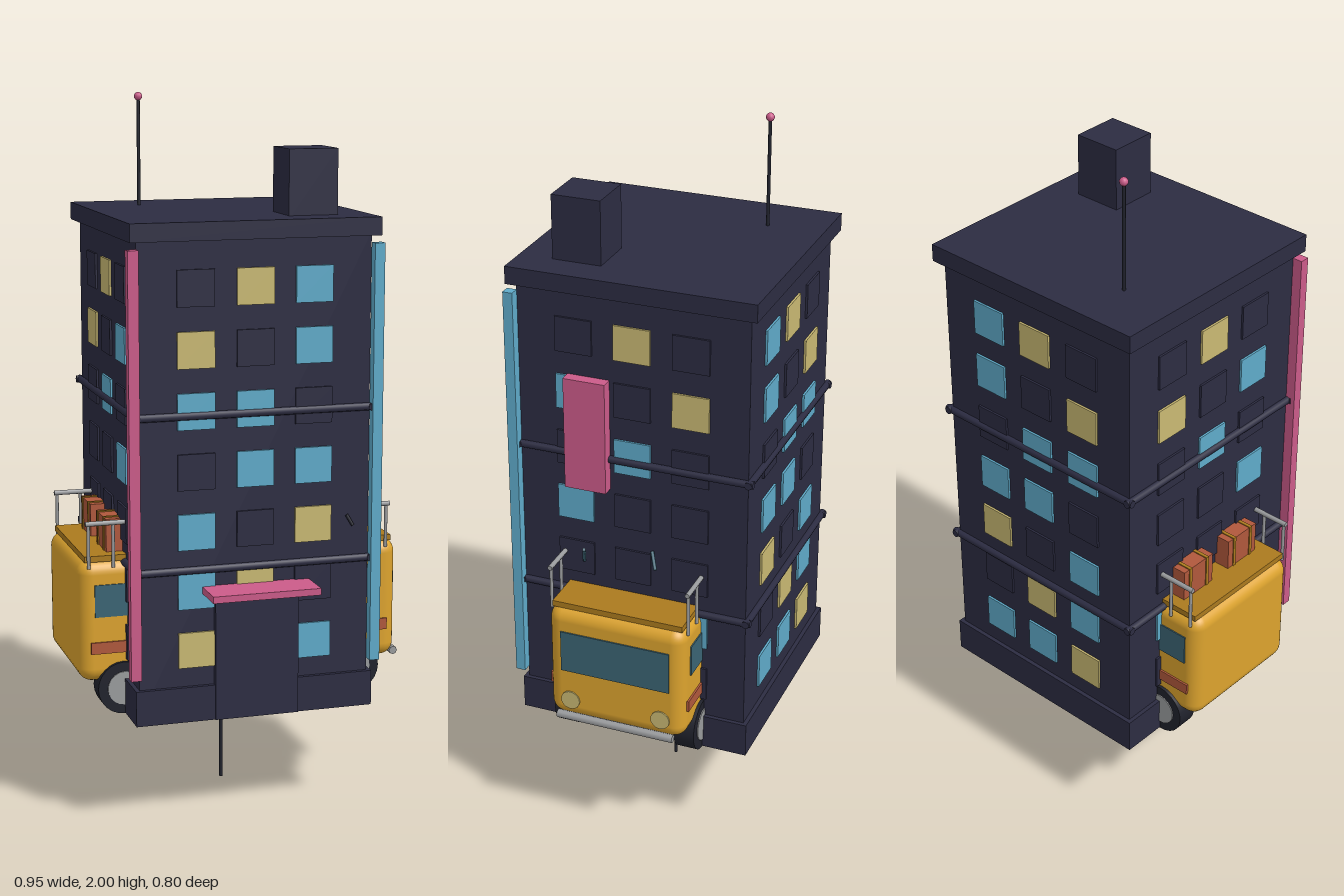
import * as THREE from 'three';
import { RoundedBoxGeometry } from 'three/addons/geometries/RoundedBoxGeometry.js';

const mat = (name, color) => {
  const m = new THREE.MeshStandardMaterial({ color });
  m.name = name;
  return m;
};

export function createModel() {
  const root = new THREE.Group();
  const M = {
    wall: mat('night wall', 0x2c2c42),
    dark: mat('dark metal', 0x20222c),
    pink: mat('neon pink', 0xcb5b89),
    blue: mat('neon blue', 0x5fabca),
    yellow: mat('warm window', 0xc9b973),
    bus: mat('bus yellow', 0xdca32e),
    roof: mat('bus roof gold', 0xab7a1e),
    glass: mat('bus glass', 0x3b6474),
    grey: mat('grey metal', 0x9a9c9e),
    red: mat('red brown', 0xb0583c),
  };

  const group = (name) => {
    const g = new THREE.Group();
    g.name = name;
    root.add(g);
    return g;
  };
  const add = (parent, name, geo, material, x, y, z) => {
    const m = new THREE.Mesh(geo, material);
    m.name = name;
    m.position.set(x, y, z);
    parent.add(m);
    return m;
  };
  // box given by its limits on each axis
  const box = (parent, name, material, x0, x1, y0, y1, z0, z1) =>
    add(parent, name, new THREE.BoxGeometry(x1 - x0, y1 - y0, z1 - z0), material,
      (x0 + x1) / 2, (y0 + y1) / 2, (z0 + z1) / 2);
  // round bar between two points
  const rod = (parent, name, material, a, b, r) => {
    const p = new THREE.Vector3(...a), q = new THREE.Vector3(...b);
    const d = q.clone().sub(p);
    const m = add(parent, name, new THREE.CylinderGeometry(r, r, d.length(), 8), material,
      ...p.clone().add(q).multiplyScalar(0.5).toArray());
    m.quaternion.setFromUnitVectors(new THREE.Vector3(0, 1, 0), d.normalize());
    return m;
  };

  // tower
  const CX = -0.008, CZ = -0.046, H = 0.33;
  const tower = group('tower');
  box(tower, 'towerBody', M.wall, CX - H, CX + H, 0.32, 1.64, CZ - H, CZ + H);
  box(tower, 'towerBase', M.wall, CX - 0.342, CX + 0.342, 0.3, 0.4, CZ - 0.342, CZ + 0.342);
  box(tower, 'cornice', M.wall, CX - 0.352, CX + 0.352, 1.63, 1.68, CZ - 0.352, CZ + 0.352);
  box(tower, 'roofHut', M.wall, 0.11, 0.25, 1.67, 1.86, 0.07, 0.21);
  box(tower, 'door', M.wall, -0.125, 0.115, 0.3, 0.665, 0.27, 0.3);

  // bands around the walls
  for (const y of [0.73, 1.158]) {
    for (const s of [-1, 1]) {
      const o = s * (H + 0.004), e = H + 0.016;
      rod(tower, 'wallBand', M.wall, [CX - e, y, CZ + o], [CX + e, y, CZ + o], 0.011);
      rod(tower, 'wallBand', M.wall, [CX + o, y, CZ - e], [CX + o, y, CZ + e], 0.011);
    }
  }

  // windows, rows from top: b blue, y yellow, . unlit
  const frontRows = ['.yb', 'y.b', 'bb.', '.bb', 'b.y', 'by.', 'ybb'];
  const sideRows = ['.y.', 'y.b', '.b.', '..b', '...', 'b..', '.b.'];
  const windows = group('windows');
  const lit = { b: M.blue, y: M.yellow, '.': M.wall };
  const fill = (rows, onSide, s) => rows.forEach((row, r) => [...row].forEach((c, i) => {
    const u = (i - 1) * 0.167, y = 1.503 - r * 0.1665, o = s * (H + 0.002);
    const geo = onSide ? new THREE.BoxGeometry(0.008, 0.1, 0.105) : new THREE.BoxGeometry(0.105, 0.1, 0.008);
    add(windows, c === '.' ? 'unlitWindow' : 'litWindow', geo, lit[c],
      CX + (onSide ? o : u), y, CZ + (onSide ? u : o));
  }));
  for (const s of [-1, 1]) {
    fill(frontRows, false, s);
    fill(sideRows, true, s);
  }

  // neon strips, hanging sign and awning
  const neon = group('neonSigns');
  box(neon, 'pinkStrip', M.pink, -0.367, -0.337, 0.435, 1.61, 0.282, 0.31);
  box(neon, 'blueStrip', M.blue, 0.323, 0.352, 0.435, 1.61, 0.282, 0.31);
  box(neon, 'wallSign', M.pink, 0.32, 0.356, 1.065, 1.39, 0.02, 0.14);
  box(neon, 'awning', M.pink, -0.16, 0.147, 0.663, 0.682, 0.27, 0.398);

  // roof aerial
  const aerial = group('aerial');
  rod(aerial, 'aerialMast', M.dark, [-0.195, 1.67, -0.237], [-0.195, 1.985, -0.237], 0.005);
  add(aerial, 'aerialTip', new THREE.SphereGeometry(0.012, 10, 8), M.pink, -0.195, 1.988, -0.237);

  // bus wedged through the tower
  const bus = group('bus');
  const BX = -0.006;
  add(bus, 'busBody', new RoundedBoxGeometry(0.936, 0.35, 0.405, 4, 0.04), M.bus, BX, 0.565, CZ);
  box(bus, 'busRoof', M.roof, BX - 0.45, BX + 0.45, 0.735, 0.752, CZ - 0.192, CZ + 0.192);
  box(bus, 'windshield', M.glass, 0.458, 0.466, 0.545, 0.67, -0.207, 0.115);
  rod(bus, 'frontBumper', M.grey, [0.465, 0.398, -0.22], [0.465, 0.398, 0.128], 0.012);
  for (const s of [-1, 1]) {
    const z = CZ + s * 0.202;
    add(bus, 'headlight', new THREE.CylinderGeometry(0.028, 0.028, 0.01, 18), M.yellow,
      0.461, 0.45, CZ + s * 0.135).rotation.z = Math.PI / 2;
    box(bus, 'sideWindow', M.glass, BX - 0.425, BX + 0.415, 0.58, 0.672, z - 0.004, z + 0.004);
    box(bus, 'sideStripe', M.red, BX - 0.437, BX + 0.437, 0.475, 0.508, z - 0.006, z + 0.006);
    // roof rack
    rod(bus, 'rackRail', M.grey, [-0.455, 0.847, z], [0.435, 0.847, z], 0.007);
    for (const x of [-0.447, -0.377, 0.36, 0.425])
      rod(bus, 'rackPost', M.grey, [x, 0.72, z], [x, 0.847, z], 0.005);
    // wheels
    for (const x of [BX - 0.345, BX + 0.335]) {
      add(bus, 'tyre', new THREE.CylinderGeometry(0.075, 0.075, 0.06, 24), M.dark,
        x, 0.373, z - s * 0.02).rotation.x = Math.PI / 2;
      add(bus, 'hubcap', new THREE.CylinderGeometry(0.048, 0.048, 0.066, 20), M.grey,
        x, 0.373, z - s * 0.02).rotation.x = Math.PI / 2;
    }
  }
  // suitcases on the roof
  for (const z of [-0.142, 0.047]) {
    box(bus, 'suitcase', M.red, -0.385, -0.28, 0.75, 0.845, z - 0.06, z + 0.06);
    for (const dz of [-0.035, 0.035])
      box(bus, 'suitcaseStrap', M.roof, -0.388, -0.28, 0.75, 0.848, z + dz - 0.005, z + dz + 0.005);
  }

  // broken glass slivers
  const shards = group('glassShards');
  rod(shards, 'shard', M.glass, [0.33, 0.83, 0.098], [0.39, 0.9, 0.072], 0.005);
  rod(shards, 'shard', M.glass, [0.33, 0.9, -0.105], [0.358, 0.86, -0.125], 0.005);
  rod(shards, 'shard', M.dark, [0.258, 0.855, 0.285], [0.275, 0.825, 0.29], 0.005);

  // stand beneath the tower
  const stand = group('stand');
  rod(stand, 'standPole', M.dark, [CX, 0, CZ], [CX, 0.3, CZ], 0.005);
  box(stand, 'standBar', M.dark, CX - 0.08, CX + 0.08, 0.265, 0.282, CZ - 0.006, CZ + 0.006);
  for (const x of [-0.06, 0.06])
    for (const s of [-1, 1])
      rod(stand, 'standStrut', M.dark, [CX + x, 0.272, CZ], [CX + x, 0.302, CZ + s * 0.035], 0.004);
  box(stand, 'standBlueTag', M.blue, CX - 0.05, CX + 0.04, 0.286, 0.292, CZ - 0.018, CZ + 0.018);
  return root;
}
